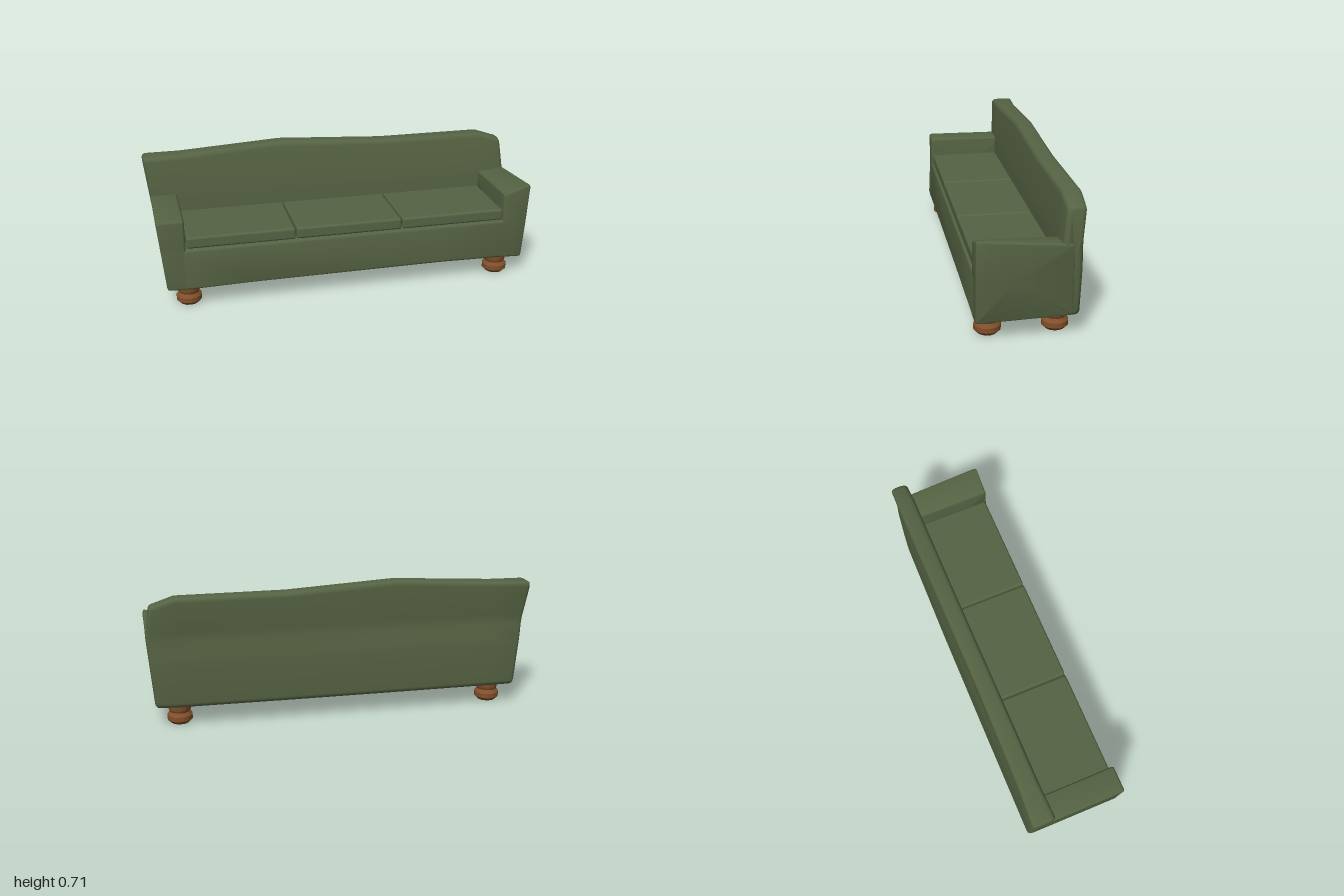
import * as THREE from 'three';
import { toCreasedNormals } from 'three/addons/utils/BufferGeometryUtils.js';
import { RoundedBoxGeometry } from 'three/addons/geometries/RoundedBoxGeometry.js';

const fabric = new THREE.MeshStandardMaterial({ color: 0x566343 });
const wood = new THREE.MeshStandardMaterial({ color: 0x80502a });

// Round every corner of a [z, y] outline with a short quadratic curve.
function roundOutline(corners, radius, steps = 4) {
  const out = [];
  const n = corners.length;
  corners.forEach((c, i) => {
    const p = new THREE.Vector2(...c);
    const toward = (q) => {
      const d = new THREE.Vector2(...q).sub(p);
      return p.clone().add(d.setLength(Math.min(radius, d.length() * 0.45)));
    };
    const curve = new THREE.QuadraticBezierCurve(
      toward(corners[(i + n - 1) % n]), p, toward(corners[(i + 1) % n]));
    out.push(...curve.getPoints(steps));
  });
  return out;
}

// Move an outline's corners inwards, for the rounded ends.
function inset(corners, d) {
  const cz = corners.reduce((s, c) => s + c[0], 0) / corners.length;
  const cy = corners.reduce((s, c) => s + c[1], 0) / corners.length;
  return corners.map(([z, y]) => [z - Math.sign(z - cz) * d, y - Math.sign(y - cy) * d]);
}

// Loft outlines from -x to +x. Each section has x (a function of y) and corners.
function loft(name, sections, radius, endRadius) {
  const first = sections[0], last = sections[sections.length - 1];
  const rings = [];
  const add = (s, shrink, shift) => rings.push(
    roundOutline(inset(s.corners, shrink), radius).map(p => [s.x(p.y) + shift, p.y, p.x]));
  const steps = 4;
  for (let i = 0; i <= steps; i++) {
    const a = (i / steps) * Math.PI / 2;
    add(first, endRadius * (1 - Math.sin(a)), endRadius * (1 - Math.cos(a)));
  }
  // the arc above runs from the cap edge outwards, so mirror its x shift
  for (let i = 0; i <= steps; i++) {
    const a = (i / steps) * Math.PI / 2;
    const shift = endRadius * (1 - Math.cos(a));
    rings[i].forEach((p, j) => { p[0] = first.x(p[1]) + shift; });
  }
  sections.slice(1, -1).forEach(s => add(s, 0, 0));
  for (let i = steps; i >= 0; i--) {
    const a = (i / steps) * Math.PI / 2;
    add(last, endRadius * (1 - Math.sin(a)), -endRadius * (1 - Math.cos(a)));
  }

  const n = rings[0].length;
  const verts = rings.flat(2);
  const index = [];
  for (let i = 0; i < rings.length - 1; i++) {
    for (let j = 0; j < n; j++) {
      const k = (j + 1) % n;
      const a = i * n + j, b = i * n + k, c = a + n, d = b + n;
      index.push(a, c, b, b, c, d);
    }
  }
  [0, rings.length - 1].forEach((r, end) => {
    const centre = verts.length / 3;
    for (let axis = 0; axis < 3; axis++) {
      verts.push(rings[r].reduce((s, p) => s + p[axis], 0) / n);
    }
    for (let j = 0; j < n; j++) {
      const a = r * n + j, b = r * n + (j + 1) % n;
      index.push(centre, end ? b : a, end ? a : b);
    }
  });
  const geo = new THREE.BufferGeometry();
  geo.setAttribute('position', new THREE.Float32BufferAttribute(verts, 3));
  geo.setIndex(index);
  const mesh = new THREE.Mesh(toCreasedNormals(geo, 0.6), fabric);
  mesh.name = name;
  return mesh;
}

// Straight-line interpolation through [y, x] pairs.
function profile(points) {
  return (y) => {
    let i = 1;
    while (i < points.length - 1 && y > points[i][0]) i++;
    const [a, b] = [points[i - 1], points[i]];
    return a[1] + (b[1] - a[1]) * (y - a[0]) / (b[0] - a[0]);
  };
}
const rightSide = profile([[0.1, -0.933], [0.47, -0.972], [0.67, -1.0]]);
const leftSide = profile([[0.1, 0.962], [0.47, 0.996], [0.64, 0.974]]);

export function createModel() {
  const sofa = new THREE.Group();
  sofa.name = 'sofa';
  const at = (x) => () => x;

  // Tall back with a gently peaked, uneven top
  const backSection = (x, top, frontZ, backZ, waistZ, lowZ) => ({
    x: typeof x === 'function' ? x : at(x),
    corners: [[-0.13, 0.105], [-0.138, 0.45], [frontZ, top], [backZ, top],
      [waistZ, 0.47], [(waistZ + lowZ) / 2 - 0.004, 0.35], [lowZ, 0.105]],
  });
  sofa.add(loft('back', [
    backSection(rightSide, 0.672, -0.145, -0.268, -0.236, -0.25),
    backSection(-0.8, 0.676, -0.152, -0.257, -0.234, -0.25),
    backSection(-0.27, 0.708, -0.158, -0.252, -0.232, -0.25),
    backSection(0.29, 0.676, -0.158, -0.252, -0.232, -0.248),
    backSection(0.85, 0.675, -0.158, -0.254, -0.232, -0.24),
    backSection(leftSide, 0.64, -0.16, -0.25, -0.23, -0.23),
  ], 0.026, 0.02));

  // Seat base between the arms
  const baseSection = (x, bottom, frontZ) => ({
    x: at(x),
    corners: [[frontZ, bottom], [0.251, 0.312], [-0.2, 0.312], [-0.22, 0.108]],
  });
  sofa.add(loft('seatBase', [
    baseSection(-0.87, 0.1, 0.264),
    baseSection(-0.5, 0.106, 0.262),
    baseSection(0.5, 0.108, 0.258),
    baseSection(0.9, 0.1, 0.256),
  ], 0.014, 0.002));

  // Arms; the left one slopes up to its outer front corner
  const armSection = (x, bottom, lowZ, frontTop, backTop) => ({
    x,
    corners: [[lowZ, bottom], [0.251, 0.312], [0.25, frontTop],
      [-0.19, backTop], [-0.2, 0.108]],
  });
  sofa.add(loft('rightArm', [
    armSection(rightSide, 0.104, 0.264, 0.472, 0.468),
    armSection(at(-0.832), 0.1, 0.264, 0.472, 0.468),
  ], 0.014, 0.012));
  sofa.add(loft('leftArm', [
    armSection(at(0.848), 0.1, 0.256, 0.462, 0.456),
    armSection(leftSide, 0.095, 0.254, 0.505, 0.467),
  ], 0.012, 0.01));

  // Three seat cushions
  [-0.55, 0.01, 0.57].forEach((x, i) => {
    const cushion = new THREE.Mesh(new RoundedBoxGeometry(0.554, 0.06, 0.385, 3, 0.012), fabric);
    cushion.name = `seatCushion${i + 1}`;
    cushion.position.set(x, 0.345, 0.05);
    sofa.add(cushion);
  });

  // Turned wooden feet
  const foot = [[0, 0], [0.047, 0], [0.065, 0.018], [0.065, 0.042],
    [0.051, 0.06], [0.057, 0.072], [0.057, 0.125], [0, 0.125]];
  const footGeo = toCreasedNormals(
    new THREE.LatheGeometry(foot.map(p => new THREE.Vector2(...p)), 14), 0.55);
  for (const x of [-0.823, 0.84]) {
    for (const z of [0.18, -0.14]) {
      const mesh = new THREE.Mesh(footGeo, wood);
      mesh.name = `${z > 0 ? 'front' : 'back'}${x > 0 ? 'Left' : 'Right'}Foot`;
      mesh.position.set(x, 0, z);
      sofa.add(mesh);
    }
  }
  return sofa;
}
